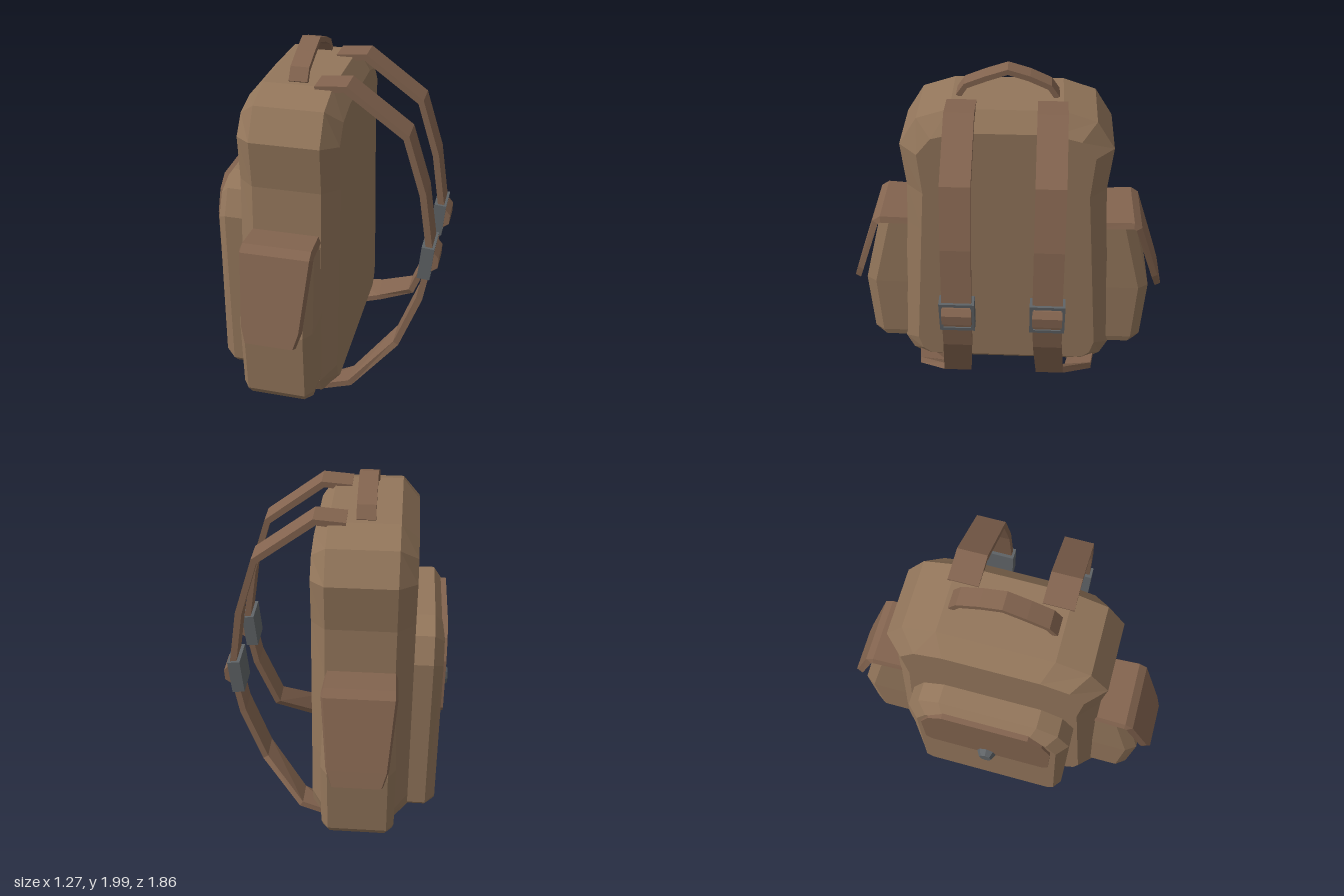
import * as THREE from 'three';

const mat = (color) => new THREE.MeshStandardMaterial({ color, flatShading: true });
const V = (x, y, z) => new THREE.Vector3(x, y, z);

// Skin a list of equal-length rings, closing both ends with fans
function loft(rings) {
  const tris = [];
  const n = rings[0].length;
  for (let r = 0; r < rings.length - 1; r++) {
    for (let i = 0; i < n; i++) {
      const j = (i + 1) % n;
      const [a, b, c, d] = [rings[r][i], rings[r][j], rings[r + 1][j], rings[r + 1][i]];
      tris.push([a, b, c], [a, c, d]);
    }
  }
  const cap = (ring, flip) => {
    const mid = ring.reduce((s, p) => s.add(p), V(0, 0, 0)).divideScalar(n);
    ring.forEach((p, i) => {
      const q = ring[(i + 1) % n];
      tris.push(flip ? [mid, q, p] : [mid, p, q]);
    });
  };
  cap(rings[0], true);
  cap(rings[rings.length - 1], false);
  // Turn all faces outward whichever way the rings run
  const o = rings[0][0];
  const volume = tris.reduce((s, [a, b, c]) =>
    s + a.clone().sub(o).dot(b.clone().sub(o).cross(c.clone().sub(o))), 0);
  if (volume < 0) tris.forEach((t) => t.reverse());
  const geo = new THREE.BufferGeometry().setFromPoints(tris.flat());
  geo.computeVertexNormals();
  return geo;
}

// Mirror a half outline of [z, y] pairs into a ring at depth x
const outline = (half, x) => [
  ...half.map(([z, y]) => V(x, y, z)),
  ...half.slice().reverse().map(([z, y]) => V(x, y, -z)),
];

// Sweep a band along points { u, v, w: side offset, h: half width, tilt }
function sweep(points, thick, map, bevel = 1) {
  return loft(points.map((p, i) => {
    const a = points[Math.max(i - 1, 0)];
    const b = points[Math.min(i + 1, points.length - 1)];
    const len = Math.hypot(b.u - a.u, b.v - a.v);
    const nu = -(b.v - a.v) / len * thick / 2;
    const nv = (b.u - a.u) / len * thick / 2;
    const tilt = p.tilt || 0;
    return [[1, bevel], [1, -bevel], [-1, -1], [-1, 1]].map(([side, k]) =>
      map(p.u + nu * side, p.v + nv * side + tilt * k, p.w + p.h * k));
  }));
}

export function createModel() {
  const model = new THREE.Group();
  const canvas = mat(0x93765b);
  const trim = mat(0x83644f);
  const metal = mat(0x5f6366);
  const add = (name, geo, material, parent = model) => {
    const mesh = new THREE.Mesh(geo, material);
    mesh.name = name;
    parent.add(mesh);
    return mesh;
  };

  // Main bag with bevelled front and back
  const bagOuter = [[0.3, 1.84], [0.48, 1.78], [0.58, 1.62], [0.555, 1.36], [0.57, 1.1],
    [0.615, 0.55], [0.635, 0.2], [0.59, 0.1], [0.5, 0.04]];
  const bagInner = [[0.25, 1.74], [0.4, 1.7], [0.48, 1.6], [0.46, 1.35], [0.48, 1.1],
    [0.52, 0.58], [0.545, 0.26], [0.52, 0.17], [0.47, 0.13]];
  add('bag', loft([outline(bagInner, -0.425), outline(bagOuter, -0.33),
    outline(bagOuter, 0.04), outline(bagInner, 0.12)]), canvas);

  // Large pocket with its flap and fastener
  const pocketOuter = [[0.27, 1.3], [0.39, 1.24], [0.46, 1.1], [0.465, 0.13], [0.41, 0.07]];
  const pocketInner = [[0.24, 1.23], [0.34, 1.18], [0.4, 1.06], [0.425, 0.16], [0.39, 0.11]];
  add('largePocket', loft([outline(pocketOuter, -0.4), outline(pocketOuter, -0.53),
    outline(pocketInner, -0.585)]), canvas);
  const flapOutline = [[0.24, 1.25], [0.32, 1.19], [0.37, 1.07], [0.37, 0.76], [0.34, 0.72]];
  add('largePocketFlap', loft([outline(flapOutline, -0.54), outline(flapOutline, -0.6)]), trim);
  const button = add('button', new THREE.CylinderGeometry(0.6, 1, 0.04, 8), metal);
  button.rotation.z = Math.PI / 2;
  button.scale.set(0.085, 1, 0.06);
  button.position.set(-0.615, 0.725, 0);

  // Carry handle
  const handle = [[0.265, 1.84], [0.225, 1.9], [0.115, 1.945], [0, 1.985],
    [-0.115, 1.95], [-0.225, 1.9], [-0.265, 1.84]];
  add('carryHandle', sweep(handle.map(([u, v]) => ({ u, v, w: -0.15, h: 0.05 })), 0.03,
    (z, y, x) => V(x, y, z)), trim);

  for (const s of [1, -1]) {
    const side = s > 0 ? 'left' : 'right';

    // Side pocket: [y, bevel z, outer z, half width]
    const levels = [[0.205, 0.76, 0.805, 0.19], [0.25, 0.775, 0.832, 0.2],
      [0.65, 0.79, 0.85, 0.2], [1.09, 0.68, 0.74, 0.185]];
    const cx = -0.152;
    add(side + 'SidePocket', loft(levels.map(([y, zb, zo, h]) => [
      [-h, 0.45], [-h, zb], [-h + 0.04, zo], [h - 0.04, zo], [h, zb], [h, 0.45],
    ].map(([x, z]) => V(cx + x, y, z * s)))), canvas);

    // Side pocket flap, sloping outward
    const flap = [[0.5, 1.095, 0.19], [0.73, 1.105, 0.198], [0.76, 1.085, 0.198],
      [0.885, 0.715, 0.165], [0.913, 0.632, 0.138]];
    add(side + 'SidePocketFlap', sweep(flap.map(([u, v, h]) => ({ u, v, w: cx, h })), 0.035,
      (z, y, x) => V(x, y, z * s), 0.93), trim);

    // Shoulder strap: [x, y, z, tilt], splaying outward at the bottom
    const strap = [[-0.05, 1.83, 0.243], [0.11, 1.845, 0.243], [0.43, 1.61, 0.243],
      [0.53, 1.29, 0.243], [0.578, 0.97, 0.243], [0.578, 0.86, 0.245], [0.54, 0.64, 0.25],
      [0.42, 0.32, 0.27], [0.19, 0.12, 0.45, 0.01], [-0.01, 0.055, 0.48, 0.03]];
    add(side + 'ShoulderStrap', sweep(
      strap.map(([u, v, w, tilt]) => ({ u, v, w, h: 0.08, tilt })), 0.036,
      (x, y, z) => V(x, y, z * s)), trim);

    // Buckle frame with the strap looped through it
    const buckle = new THREE.Group();
    buckle.name = side + 'Buckle';
    buckle.position.set(0.565, 0.88, 0.243 * s);
    buckle.rotation.z = -0.09;
    for (const k of [-1, 1]) {
      add('buckleBar', new THREE.BoxGeometry(0.07, 0.02, 0.19), metal, buckle)
        .position.y = 0.09 * k;
      add('buckleSide', new THREE.BoxGeometry(0.07, 0.2, 0.02), metal, buckle)
        .position.z = 0.085 * k;
    }
    add('buckleBack', new THREE.BoxGeometry(0.02, 0.18, 0.17), metal, buckle).position.x = -0.025;
    const loop = [[0, 0.075], [0.035, 0.07], [0.065, 0.04], [0.068, -0.02], [0.03, -0.055], [0, -0.06]];
    add('strapLoop', loft([-0.08, 0.08].map((z) => loop.map(([x, y]) => V(x, y, z)))), trim, buckle);
    model.add(buckle);
  }
  return model;
}
